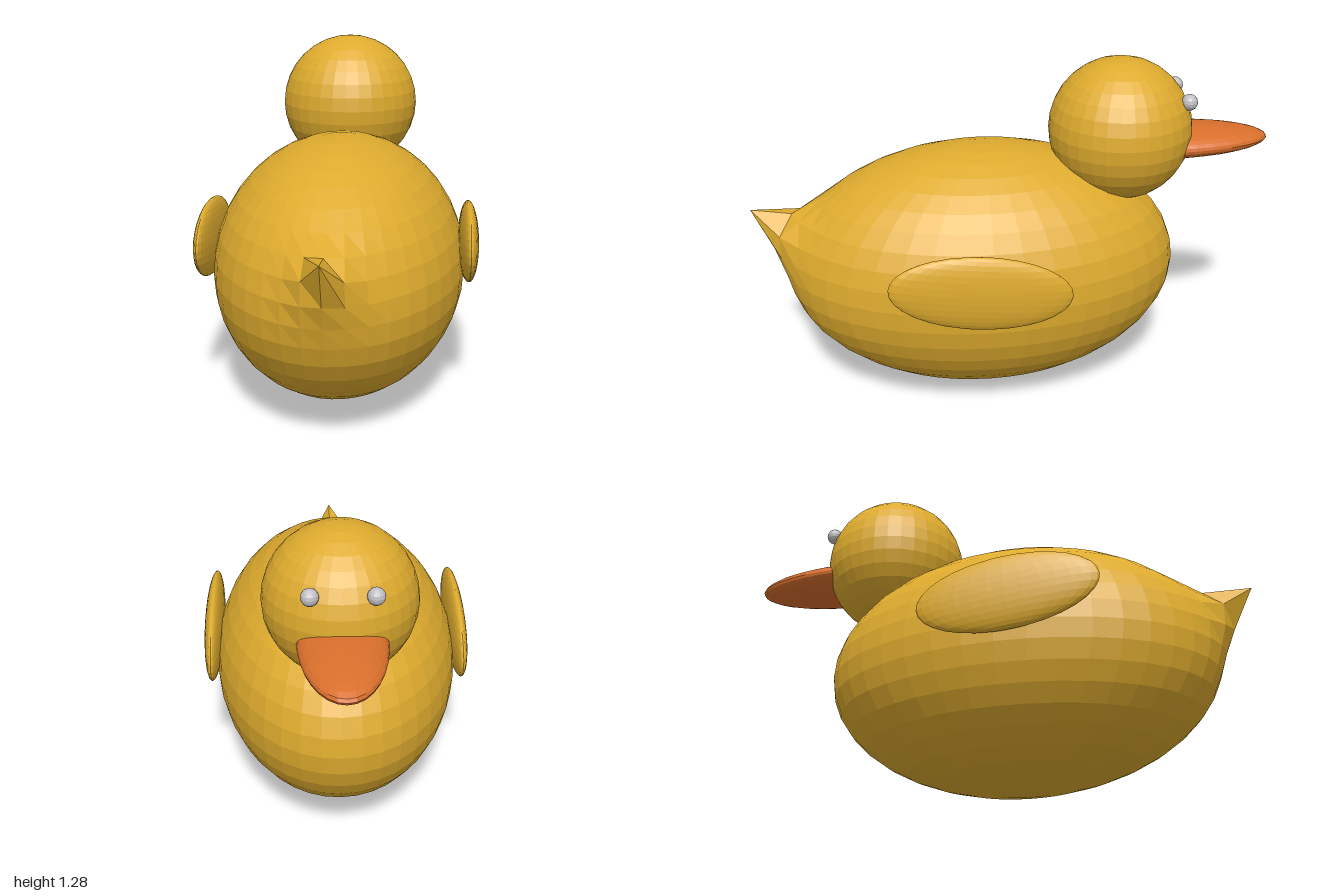
import * as THREE from 'three';

const paint = (name, color) => {
  const m = new THREE.MeshStandardMaterial({ color, flatShading: true });
  m.name = name;
  return m;
};

export function createModel() {
  const yellow = paint('duck yellow', 0xdeab2e);
  const orange = paint('beak orange', 0xd96f2c);
  const grey = paint('eye grey', 0xc0c0c4);
  const model = new THREE.Group();
  model.name = 'duck';

  // Ellipsoid with given centre, radii and segment counts
  function ellipsoid(name, material, [x, y, z], [rx, ry, rz], columns = 32, rows = 16) {
    const geometry = new THREE.SphereGeometry(1, columns, rows).scale(rx, ry, rz);
    const mesh = new THREE.Mesh(geometry, material);
    mesh.name = name;
    mesh.position.set(x, y, z);
    model.add(mesh);
    return mesh;
  }

  // Body, with the tail drawn out of the rear by a sharp falloff
  const body = ellipsoid('body', yellow, [0, 0.485, 0.115], [0.475, 0.48, 0.755], 40, 20);
  const points = body.geometry.attributes.position;
  const angle = Math.PI / 10;
  const root = new THREE.Vector3(0, 0.48 * Math.sin(angle), 0.755 * Math.cos(angle));
  const tip = new THREE.Vector3(0, 0.255, 0.885);
  const pull = tip.sub(root);
  const p = new THREE.Vector3();
  for (let i = 0; i < points.count; i++) {
    p.fromBufferAttribute(points, i);
    const w = Math.max(0, 1 - p.distanceTo(root) / 0.36) ** 4;
    points.setXYZ(i, p.x, p.y + pull.y * w * w, p.z + pull.z * w);
  }
  body.geometry.computeVertexNormals();

  // Head and beak
  ellipsoid('head', yellow, [0, 1.01, -0.418], [0.275, 0.275, 0.275]);
  ellipsoid('beak', orange, [0, 0.955, -0.61], [0.155, 0.058, 0.39]);

  // Paired eyes and wings
  for (const [side, s] of [['left', 1], ['right', -1]]) {
    ellipsoid(side + 'Eye', grey, [s * 0.108, 1.137, -0.655], [0.031, 0.031, 0.031], 16, 8);
    const wing = ellipsoid(side + 'Wing', yellow, [s * 0.486, 0.585, 0.167], [0.038, 0.144, 0.333]);
    wing.rotation.x = -0.1;
  }
  return model;
}
